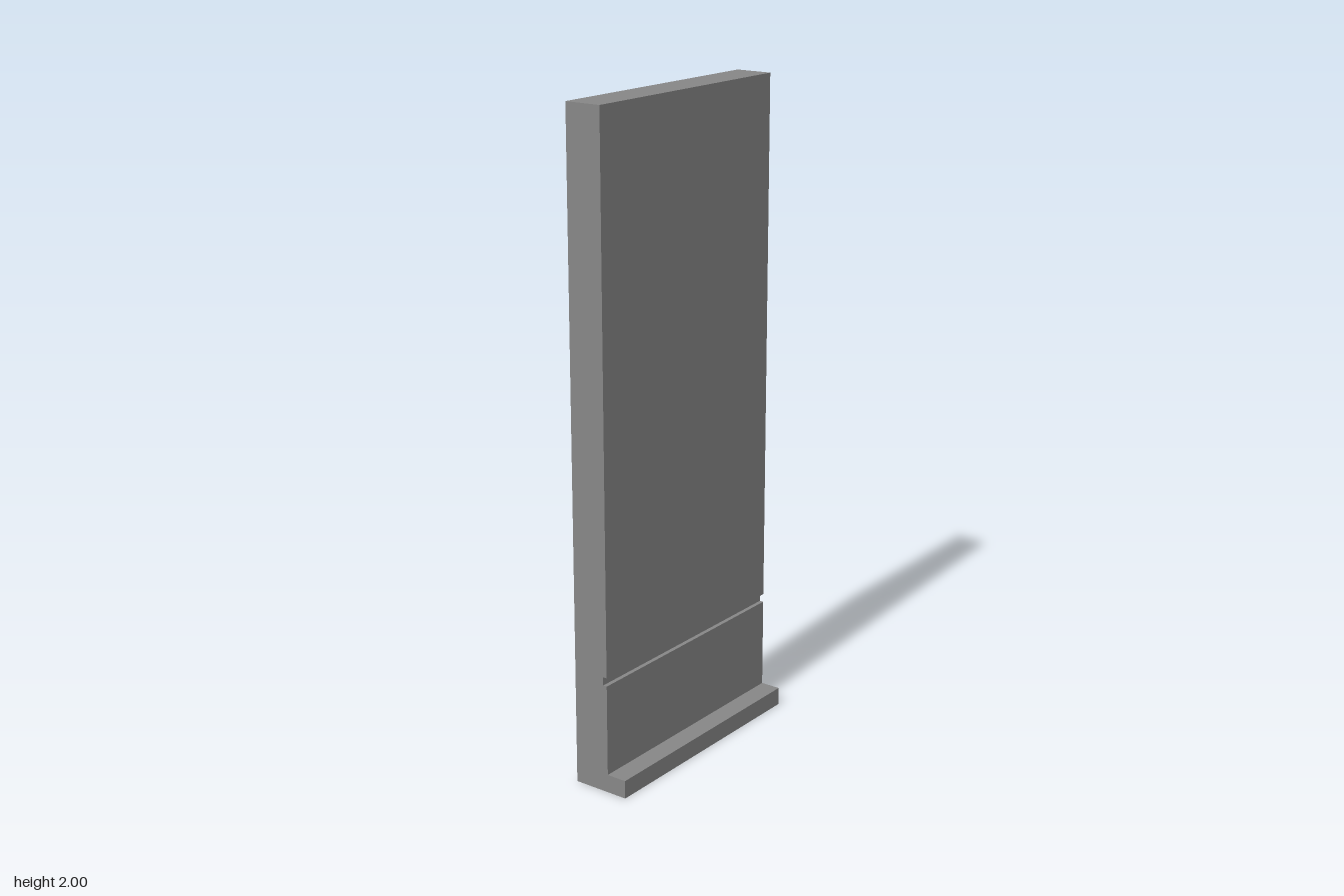
import * as THREE from 'three';

const WIDTH = 0.788;

// Side profile as [z, y] points
const PROFILE = [
  [-0.09, 0], [0.09, 0], [0.09, 0.056], [0.026, 0.056], // base ledge
  [0.026, 0.337], [0.013, 0.337], [0.013, 0.363], [0.026, 0.363], // groove
  [0.026, 2], [-0.09, 2],
];

export function createModel() {
  const group = new THREE.Group();
  group.name = 'groovedPanel';

  // Sweep the side profile across the full width
  const shape = new THREE.Shape(PROFILE.map(([z, y]) => new THREE.Vector2(z, y)));
  const geometry = new THREE.ExtrudeGeometry(shape, { depth: WIDTH, bevelEnabled: false });
  geometry.translate(0, 0, -WIDTH / 2);
  geometry.rotateY(-Math.PI / 2);

  const panel = new THREE.Mesh(geometry, new THREE.MeshStandardMaterial({ color: 0x878787 }));
  panel.name = 'panelWithLedge';
  group.add(panel);
  return group;
}
